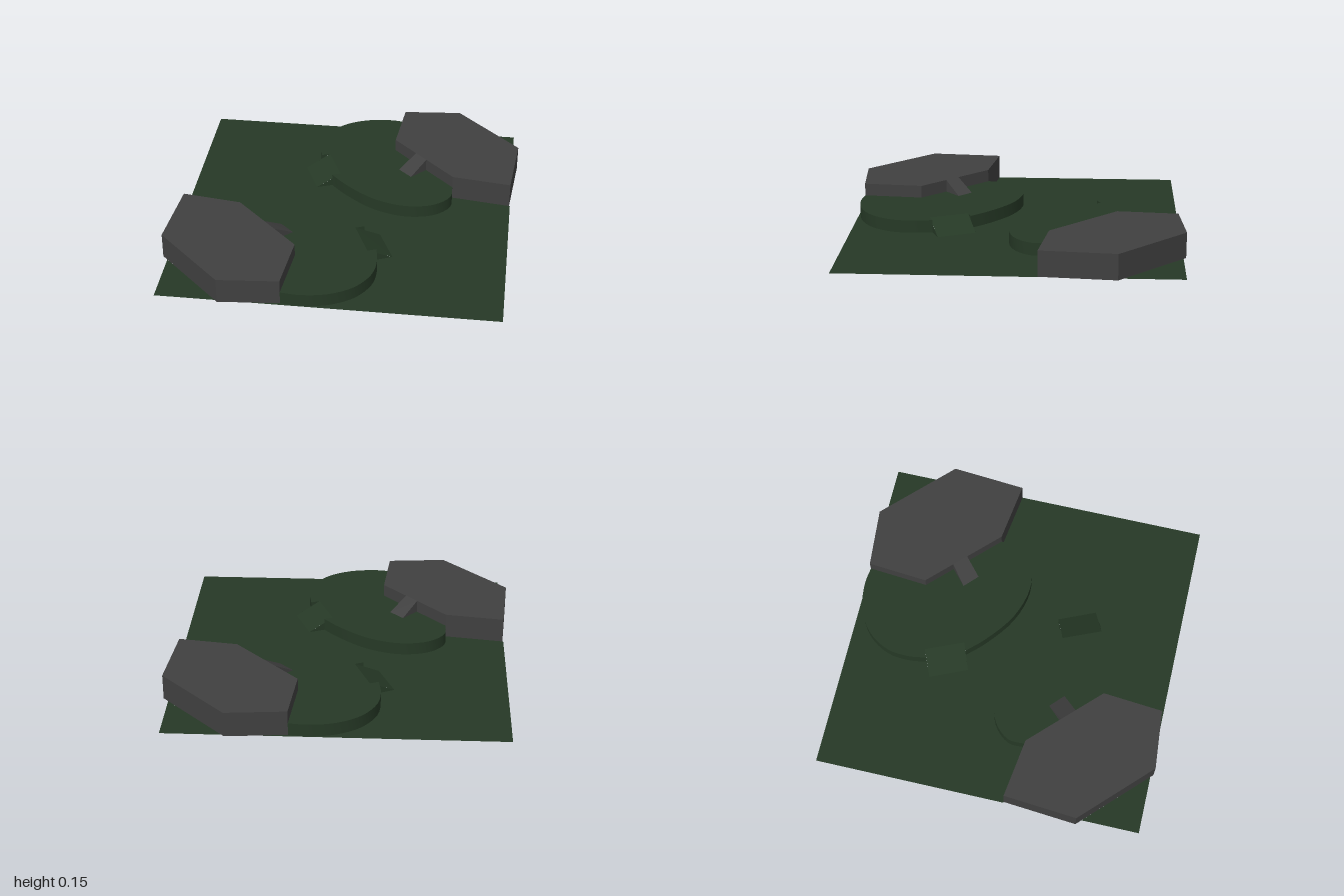
import * as THREE from 'three';

const DISC_Y = 0.075, BLOCK_Y = 0.15, EDGE = 0.97;
const green = new THREE.MeshStandardMaterial({ color: 0x263926, side: THREE.DoubleSide });
const grey = new THREE.MeshStandardMaterial({ color: 0x404040, side: THREE.DoubleSide });

// Plan points are [x, z]
const hex = [[-0.965, 0.165], [-0.615, 0.215], [-0.23, 0.6], [-0.26, 0.955], [-0.61, 0.985], [-1, 0.6]];
// Disc rim on either side of the outer ramp
const rimA = smooth([[-0.615, 0.215], [-0.61, 0.11], [-0.52, 0.013], [-0.353, -0.024], [-0.155, 0.03], [0.03, 0.163], [0.13, 0.265]]);
const rimB = smooth([[0.225, 0.484], [0.24, 0.59], [0.225, 0.725], [0.14, 0.858], [0, 0.94], [-0.155, 0.965], [-0.26, 0.955]]);
// Ramp corners: two at the high end, two at the low end
const lowRamp = [[0.08, 0.285], [0.175, 0.505], [0.315, 0.445], [0.22, 0.23]];
const highRamp = [[-0.44, 0.39], [-0.37, 0.46], [-0.275, 0.375], [-0.355, 0.3]];

function smooth(points) {
  const curve = new THREE.CatmullRomCurve3(points.map(([x, z]) => new THREE.Vector3(x, 0, z)));
  return curve.getPoints(24).map(p => [p.x, p.z]);
}

function add(group, name, geometry, material) {
  const mesh = new THREE.Mesh(geometry, material);
  mesh.name = name;
  group.add(mesh);
}

// Horizontal sheet facing up
function sheet(points, y) {
  const shape = new THREE.Shape(points.map(([x, z]) => new THREE.Vector2(x, -z)));
  return new THREE.ShapeGeometry(shape).rotateX(-Math.PI / 2).translate(0, y, 0);
}

// Vertical wall from the ground up, following a path
function wall(points, height, faceted) {
  const pos = [], index = [];
  points.forEach(([x, z], i) => {
    pos.push(x, 0, z, x, height, z);
    const k = i * 2;
    if (i < points.length - 1) index.push(k, k + 1, k + 3, k, k + 3, k + 2);
  });
  let geo = new THREE.BufferGeometry();
  geo.setAttribute('position', new THREE.Float32BufferAttribute(pos, 3));
  geo.setIndex(index);
  if (faceted) geo = geo.toNonIndexed();
  geo.computeVertexNormals();
  return geo;
}

// Flat triangles from lists of three corners
function triangles(list) {
  const geo = new THREE.BufferGeometry();
  geo.setAttribute('position', new THREE.Float32BufferAttribute(list.flat(2), 3));
  geo.computeVertexNormals();
  return geo;
}

const at = ([x, z], y) => [x, y, z];

// Sloping face between two heights
function slope([a, b, c, d], top, bottom) {
  const [A, B, C, D] = [at(a, top), at(b, top), at(c, bottom), at(d, bottom)];
  return [[A, B, C], [A, C, D]];
}

// Ramp side: above the slope inside the disc, below it outside
function notchSide(high, rim, low) {
  const t = Math.hypot(rim[0] - high[0], rim[1] - high[1]) / Math.hypot(low[0] - high[0], low[1] - high[1]);
  const mid = at(rim, DISC_Y * (1 - t));
  return [[at(high, DISC_Y), at(rim, DISC_Y), mid], [mid, at(rim, 0), at(low, 0)]];
}

function createStation() {
  const station = new THREE.Group();

  // Hexagonal block, open underneath
  add(station, 'blockTop', sheet(hex, BLOCK_Y), grey);
  add(station, 'blockWalls', wall([...hex, hex[0]], BLOCK_Y, true), grey);

  // Rounded platform with notches for both ramps
  const [a, b, c, d] = lowRamp, [e, f, g, h] = highRamp;
  add(station, 'platformTop', sheet([...rimA, a, b, ...rimB, hex[2], f, g, h, e], DISC_Y), green);
  add(station, 'platformWallA', wall(rimA, DISC_Y), green);
  add(station, 'platformWallB', wall(rimB, DISC_Y), green);

  // Ramp from the ground to the platform
  add(station, 'outerRamp', triangles([
    ...slope(lowRamp, DISC_Y, 0),
    ...notchSide(a, rimA[rimA.length - 1], d),
    ...notchSide(b, rimB[0], c),
  ]), green);

  // Ramp from the platform to the block
  add(station, 'innerRamp', triangles([
    ...slope(highRamp, BLOCK_Y, DISC_Y),
    [at(e, BLOCK_Y), at(h, DISC_Y), at(e, DISC_Y)],
    [at(f, BLOCK_Y), at(f, DISC_Y), at(g, DISC_Y)],
  ]), grey);

  // Ground corner left outside the block
  add(station, 'groundCorner', sheet([[-EDGE, 0.63], [-0.625, EDGE], [-EDGE, EDGE]], 0), green);
  return station;
}

export function createModel() {
  const model = new THREE.Group();
  model.name = 'arena';

  // Ground sheet, cut away beneath the raised parts
  const half = [[-EDGE, -EDGE], [-EDGE, 0.165], hex[0], ...rimA, lowRamp[3], lowRamp[2], ...rimB, [-0.435, EDGE]];
  const ground = [...half, ...half.map(([x, z]) => [-x, -z])];
  add(model, 'ground', sheet(ground, 0), green);

  // Two stations in opposite corners
  for (let i = 0; i < 2; i++) {
    const station = createStation();
    station.name = i ? 'backStation' : 'frontStation';
    station.rotation.y = i * Math.PI;
    model.add(station);
  }
  return model;
}
